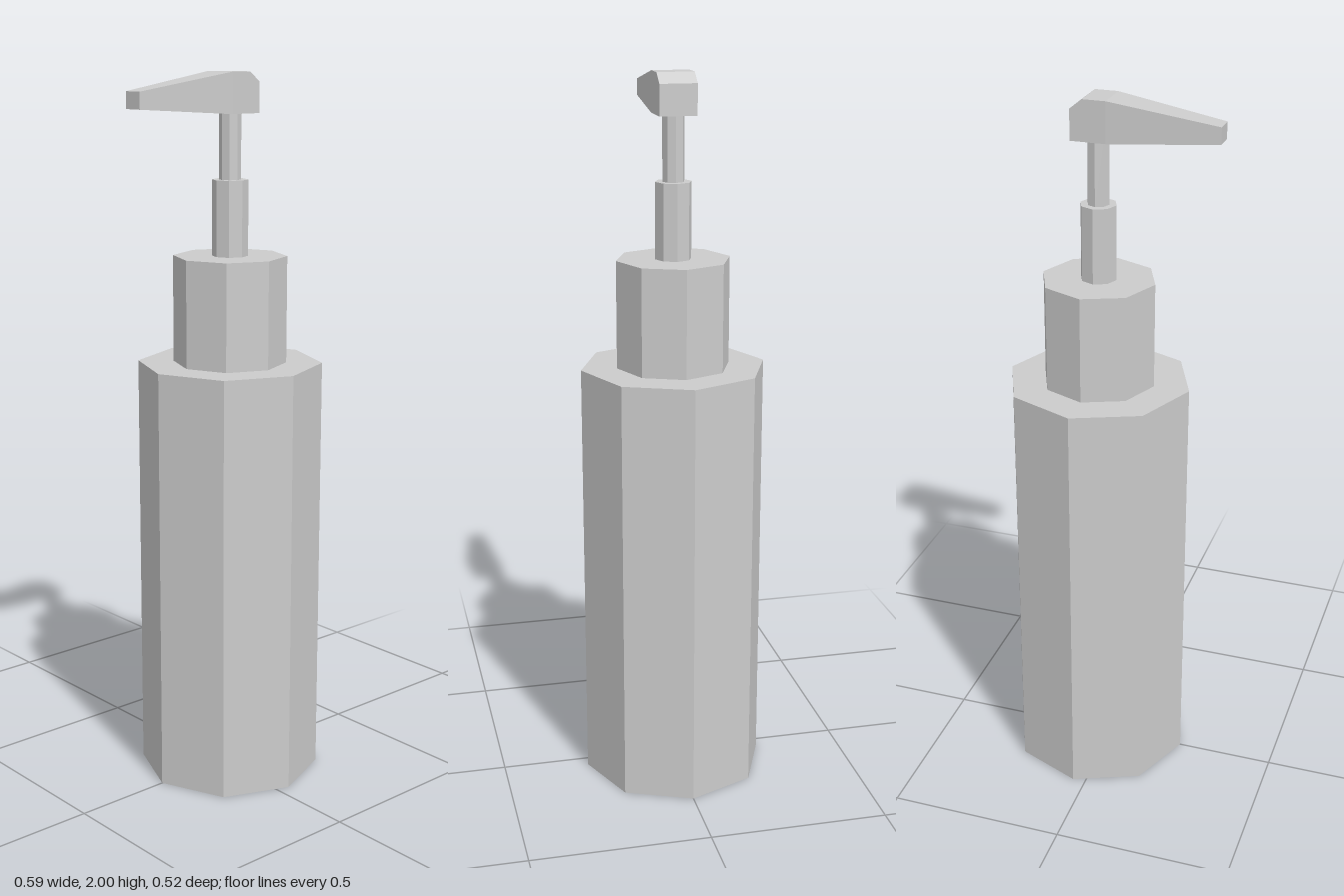
import * as THREE from 'three';

const AXIS_X = 0.037; // the bottle axis sits slightly off the model centre

export function createModel() {
  const group = new THREE.Group();
  const material = new THREE.MeshStandardMaterial({ color: 0xcccccc, flatShading: true });

  const add = (name, geometry) => {
    const mesh = new THREE.Mesh(geometry, material);
    mesh.name = name;
    group.add(mesh);
  };

  // Stacked octagonal prisms: name, radius, bottom, top
  const prisms = [
    ['bottle', 0.258, 0, 1.207],
    ['collar', 0.158, 1.207, 1.505],
    ['sleeve', 0.05, 1.505, 1.713],
    ['stem', 0.03, 1.713, 1.89],
  ];
  for (const [name, radius, bottom, top] of prisms) {
    const geometry = new THREE.CylinderGeometry(radius, radius, top - bottom, 8);
    geometry.translate(AXIS_X, (bottom + top) / 2, 0);
    add(name, geometry);
  }

  // Pump head: a box reshaped to stations of x, bottom, top, half width
  const stations = [
    [-0.295, 1.909, 1.954, 0.028],
    [0, 1.89, 2, 0.051],
    [0.063, 1.89, 2, 0.051],
    [0.097, 1.89, 1.973, 0.051],
  ];
  const spans = stations.length - 1;
  const head = new THREE.BoxGeometry(spans, 2, 2, spans, 1, 1);
  const position = head.attributes.position;
  for (let i = 0; i < position.count; i++) {
    const [x, bottom, top, half] = stations[Math.round(position.getX(i) + spans / 2)];
    position.setXYZ(i, x, position.getY(i) > 0 ? top : bottom, Math.sign(position.getZ(i)) * half);
  }
  const flatHead = head.toNonIndexed();
  flatHead.computeVertexNormals();
  add('pumpHead', flatHead);

  return group;
}
